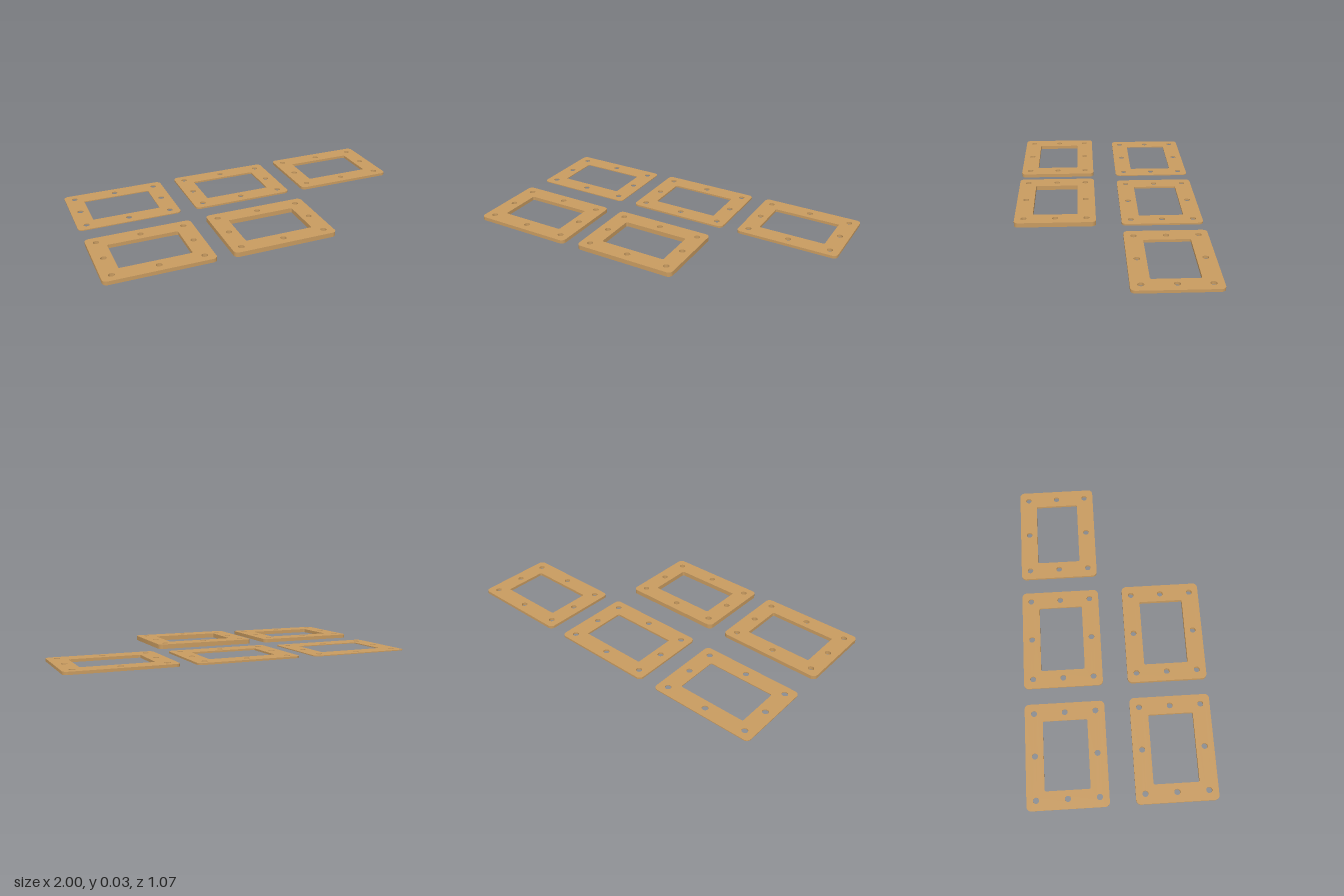
import * as THREE from 'three';
import { toCreasedNormals } from 'three/addons/utils/BufferGeometryUtils.js';

const WIDTH = 0.604, DEPTH = 0.461, PITCH_X = 0.698, ROW_Z = 0.303;
const STEP = 0.00535; // each frame is one step thicker than the last

// Rounded rectangle centred on the origin
function roundedRect(path, w, h, r) {
  const x = w / 2 - r, y = h / 2 - r;
  path.moveTo(x + r, -y);
  path.absarc(x, y, r, 0, Math.PI / 2);
  path.absarc(-x, y, r, Math.PI / 2, Math.PI);
  path.absarc(-x, -y, r, Math.PI, Math.PI * 1.5);
  path.absarc(x, -y, r, Math.PI * 1.5, Math.PI * 2);
  path.closePath();
  return path;
}

// Frame outline with a window and eight screw holes around it
function frameShape() {
  const shape = roundedRect(new THREE.Shape(), WIDTH, DEPTH, 0.027);
  shape.holes.push(roundedRect(new THREE.Path(), 0.396, 0.256, 0.008));
  for (const i of [-1, 0, 1]) {
    for (const j of [-1, 0, 1]) {
      if (i === 0 && j === 0) continue;
      shape.holes.push(new THREE.Path().absarc(i * 0.246, j * 0.177, 0.017, 0, Math.PI * 2, true));
    }
  }
  return shape;
}

export function createModel() {
  const group = new THREE.Group();
  group.name = 'spacerFrames';
  const tan = new THREE.MeshStandardMaterial({ color: 0xc89b60 });
  tan.name = 'tan';
  const shape = frameShape();

  // Three thin frames in the back row, two thick ones in the front row
  for (let n = 0; n < 5; n++) {
    const flat = new THREE.ExtrudeGeometry(shape, {
      depth: STEP * (n + 1), bevelEnabled: false, curveSegments: 16,
    });
    flat.rotateX(-Math.PI / 2);
    const frame = new THREE.Mesh(toCreasedNormals(flat, Math.PI / 5), tan);
    frame.name = `spacerFrame${n + 1}`;
    frame.position.set(((n % 3) - 1) * PITCH_X, 0, n < 3 ? -ROW_Z : ROW_Z);
    group.add(frame);
  }
  return group;
}
